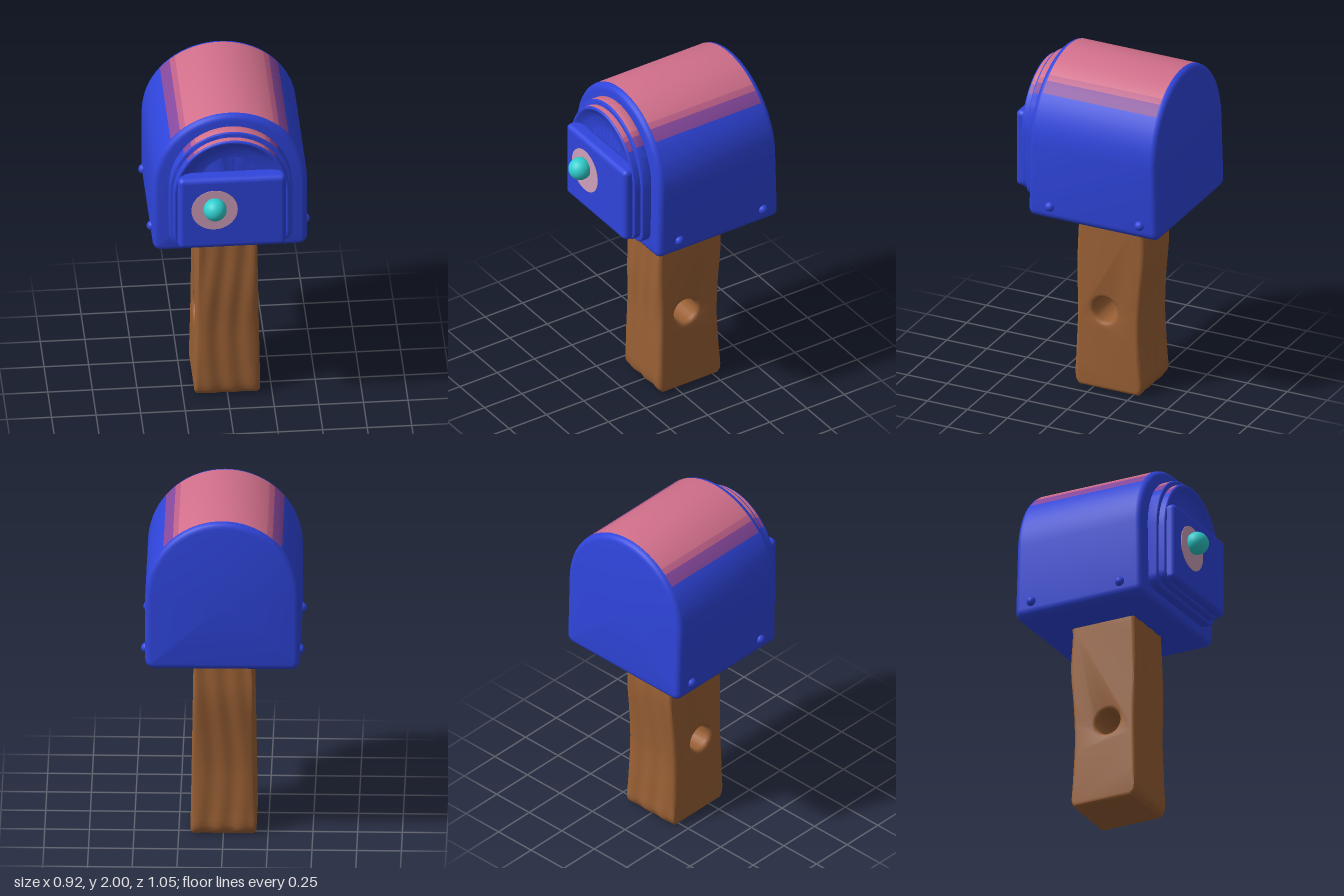
import * as THREE from 'three';
import { toCreasedNormals } from 'three/addons/utils/BufferGeometryUtils.js';
import { RoundedBoxGeometry } from 'three/addons/geometries/RoundedBoxGeometry.js';

const mat = (name, color) => {
  const m = new THREE.MeshStandardMaterial({ color });
  m.name = name;
  return m;
};
const ARC_STEPS = 36;

// Arched outline, counter-clockwise from the lower left corner; each point keeps its arch angle
function archProfile(w, y0, spring, top, r) {
  const pts = [];
  const corner = (cx, from) => {
    for (let i = 0; i <= 5; i++) {
      const a = from + (i / 5) * Math.PI / 2;
      pts.push({ x: cx + r * Math.cos(a), y: y0 + r + r * Math.sin(a), deg: -1 });
    }
  };
  corner(-w + r, Math.PI);
  corner(w - r, Math.PI * 1.5);
  for (let i = 0; i <= ARC_STEPS; i++) {
    const a = (i / ARC_STEPS) * Math.PI;
    pts.push({ x: w * Math.cos(a), y: spring + (top - spring) * Math.sin(a), deg: (i / ARC_STEPS) * 180 });
  }
  return pts;
}

// Skin of an outline through rings [z, inset, painted]; painted spans carry the coloured roof bands
function loft(profile, rings, backZ, frontZ, warp) {
  const n = profile.length, pos = [], faces = [[], [], [], []];
  const normals = profile.map((p, i) => {
    const a = profile[(i + n - 1) % n], b = profile[(i + 1) % n];
    return new THREE.Vector2(b.y - a.y, a.x - b.x).normalize();
  });
  const add = (x, y, z) => pos.push(x, y, warp ? warp(y, z) : z);
  for (const [z, inset] of rings) {
    profile.forEach((p, i) => add(p.x - normals[i].x * inset, p.y - normals[i].y * inset, z));
  }
  const midY = 1.5, back = rings.length * n, front = back + 1;
  add(0, midY, backZ);
  add(0, midY, frontZ);
  const band = (i) => {
    const p = profile[i], q = profile[(i + 1) % n];
    if (p.deg < 0 || q.deg < 0) return 0;
    const mid = (p.deg + q.deg) / 2, d = Math.min(mid, 180 - mid);
    return d > 55 ? 3 : d > 50 ? 2 : d > 40 ? 1 : 0;
  };
  for (let i = 0; i < n; i++) {
    const j = (i + 1) % n;
    for (let k = 0; k < rings.length - 1; k++) {
      const a = k * n + i, b = k * n + j, c = b + n, d = a + n;
      faces[rings[k][2] ? band(i) : 0].push(a, b, c, a, c, d);
    }
    const last = (rings.length - 1) * n;
    faces[0].push(back, j, i, front, last + i, last + j);
  }
  const g = new THREE.BufferGeometry();
  g.setAttribute('position', new THREE.Float32BufferAttribute(pos, 3));
  g.setIndex(faces.flat());
  let start = 0;
  faces.forEach((f, m) => {
    if (f.length) g.addGroup(start, f.length, m);
    start += f.length;
  });
  return toCreasedNormals(g, 0.6);
}

// Rings with rounded front and back edges
function roundedRings(z0, z1, r) {
  const rings = [], s = 4;
  for (let i = 0; i <= s; i++) {
    const a = (i / s) * Math.PI / 2;
    rings.push([z0 + r * (1 - Math.sin(a)), r * (1 - Math.cos(a)), false]);
  }
  rings.reverse();
  const front = rings.map(([z, inset]) => [z0 + z1 - z, inset, false]).reverse();
  rings.reverse();
  const backRings = rings.slice().sort((p, q) => p[0] - q[0]);
  const frontRings = front.sort((p, q) => p[0] - q[0]);
  backRings[s][2] = true;
  return [...backRings, ...frontRings];
}

// Wavy wooden post with a round hole from side to side
function postGeometry() {
  const frontEdge = [[0.085, 0], [0.108, 0.03], [0.112, 0.2], [0.105, 0.45], [0.108, 0.7], [0.098, 0.95], [0.09, 1.15]];
  const backEdge = [[-0.3, 1.15], [-0.298, 1.05], [-0.31, 0.85], [-0.293, 0.6], [-0.285, 0.4], [-0.297, 0.15], [-0.3, 0.03], [-0.28, 0]];
  const curve = (e) => new THREE.CatmullRomCurve3(e.map(([z, y]) => new THREE.Vector3(z, y, 0)))
    .getPoints(28).map((p) => new THREE.Vector2(p.x, Math.max(0, p.y)));
  const shape = new THREE.Shape([...curve(frontEdge), ...curve(backEdge)]);
  shape.holes.push(new THREE.Path().absarc(-0.07, 0.49, 0.075, 0, Math.PI * 2, true));
  const bevel = 0.022, width = 0.37;
  const g = new THREE.ExtrudeGeometry(shape, {
    depth: width - 2 * bevel, steps: 20, curveSegments: 28,
    bevelSize: bevel, bevelOffset: -bevel, bevelThickness: bevel, bevelSegments: 3,
  });
  g.translate(0, 0, bevel - width / 2);
  g.rotateY(-Math.PI / 2);
  // Narrow towards the top and press wandering grain into front and back
  const p = g.attributes.position;
  for (let i = 0; i < p.count; i++) {
    const x = p.getX(i), y = p.getY(i), z = p.getZ(i);
    const edge = Math.max(0, Math.abs(z + 0.1) - 0.12) / 0.08;
    const grain = 0.004 * Math.sin(52 * x + 1.6 * Math.sin(4 * y));
    p.setXYZ(i, x * (1 - 0.09 * y), y, z + Math.sign(z + 0.1) * edge * grain);
  }
  g.deleteAttribute('uv');
  return toCreasedNormals(g, 0.6);
}

export function createModel() {
  const blue = mat('blue paint', 0x2f45dc);
  const purple = mat('purple edge', 0x86489c);
  const rose = mat('rose edge', 0xbd6088);
  const pink = mat('pink roof', 0xd16f8b);
  const pale = mat('pale pink', 0xcfa0bb);
  const teal = mat('turquoise', 0x30cfcf);
  const wood = mat('brown wood', 0x9a6035);
  const paint = [blue, purple, rose, pink];

  const group = new THREE.Group();
  group.name = 'mailbox';
  const add = (name, geometry, material, x = 0, y = 0, z = 0) => {
    const m = new THREE.Mesh(geometry, material);
    m.name = name;
    m.position.set(x, y, z);
    group.add(m);
    return m;
  };

  add('post', postGeometry(), wood);

  // Arched box, slightly shorter at the top
  const lean = (y, z) => z * (1 - 0.05 * (y - 1.11) / 0.89);
  add('box', loft(archProfile(0.433, 1.11, 1.55, 2, 0.05), roundedRings(-0.525, 0.283, 0.035), -0.525, 0.283, lean), paint);

  // Stepped door frame
  add('outerFrame', loft(archProfile(0.345, 1.18, 1.55, 1.93, 0.07), roundedRings(0.25, 0.335, 0.01), 0.25, 0.335), paint);
  const recess = [[0.374, 0.02], [0.36, 0.032], [0.345, 0.07], [0.335, 0.13]];
  add('innerFrame', loft(archProfile(0.325, 1.2, 1.54, 1.9, 0.07),
    [...roundedRings(0.3, 0.377, 0.01), ...recess], 0.3, 0.335), paint);

  // Door panel with its round plate and knob
  add('doorPanel', new RoundedBoxGeometry(0.605, 0.465, 0.1, 4, 0.03), blue, 0, 1.447, 0.375);
  const plate = add('knobPlate', new THREE.CylinderGeometry(0.13, 0.13, 0.006, 48), pale, -0.1, 1.475, 0.425);
  plate.rotation.x = Math.PI / 2;
  add('knob', new THREE.SphereGeometry(0.065, 32, 20), teal, -0.1, 1.5, 0.46);

  // Rivets low on both sides
  for (const side of [-1, 1]) {
    for (const z of [0.145, -0.415]) {
      add('rivet', new THREE.SphereGeometry(0.029, 16, 12), blue, side * 0.429, 1.197, z);
    }
  }
  return group;
}
